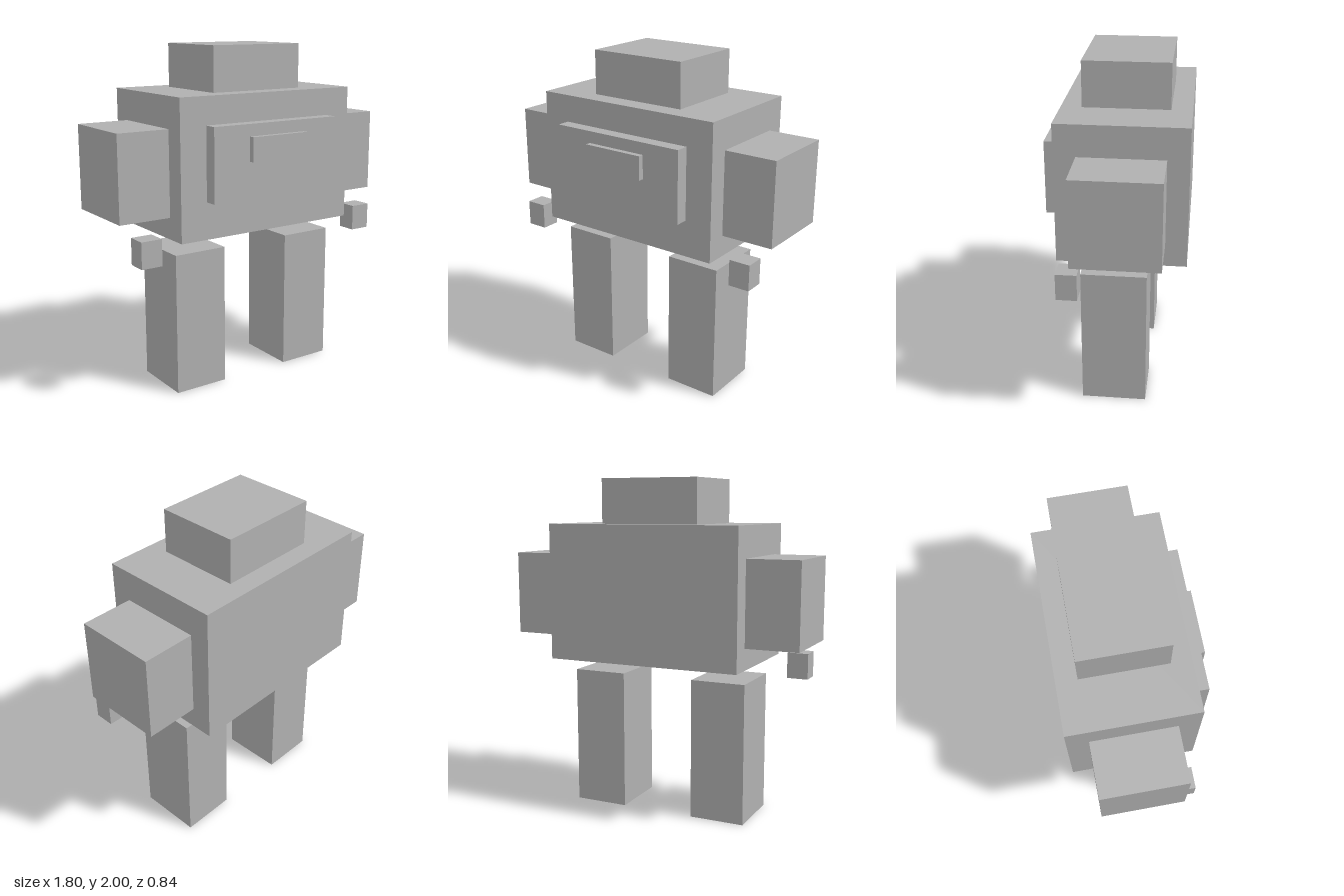
import * as THREE from 'three';

const grey = new THREE.MeshStandardMaterial({ color: 0xb0b0b0 });
grey.name = 'plain grey';

// A box given by its [min, max] range along each axis
function block(name, [x0, x1], [y0, y1], [z0, z1]) {
  const mesh = new THREE.Mesh(new THREE.BoxGeometry(x1 - x0, y1 - y0, z1 - z0), grey);
  mesh.position.set((x0 + x1) / 2, (y0 + y1) / 2, (z0 + z1) / 2);
  mesh.name = name;
  return mesh;
}

export function createModel() {
  const robot = new THREE.Group();
  robot.name = 'blockRobot';

  // Head, body and the stepped chest plates
  robot.add(
    block('head', [-0.3, 0.3], [1.74, 2], [-0.3, 0.19]),
    block('torso', [-0.59, 0.59], [0.94, 1.74], [-0.418, 0.307]),
    block('chestPanel', [-0.425, 0.425], [1.155, 1.58], [0.307, 0.385]),
    block('chestBar', [-0.19, 0.19], [1.37, 1.51], [0.385, 0.418]),
  );

  // Arms, floating hands and legs, mirrored left and right
  for (const [side, s] of [['left', 1], ['right', -1]]) {
    const span = (a, b) => (s > 0 ? [a, b] : [-b, -a]);
    robot.add(
      block(side + 'Arm', span(0.59, 0.902), [1.065, 1.56], [-0.297, 0.185]),
      block(side + 'Hand', span(0.695, 0.822), [0.826, 0.98], [0.157, 0.274]),
      block(side + 'Leg', span(0.224, 0.555), [0, 0.838], [-0.197, 0.18]),
    );
  }
  return robot;
}
